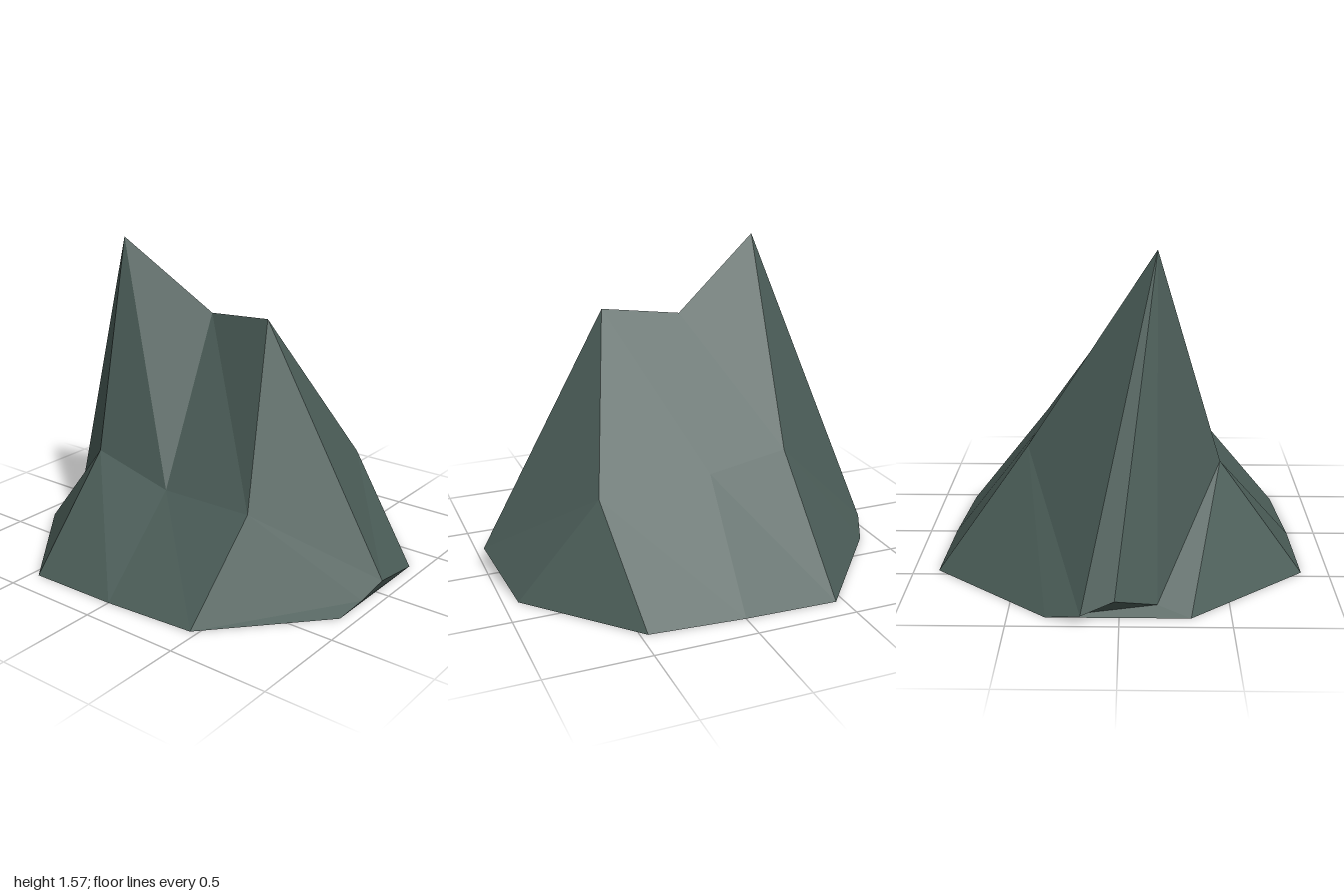
import * as THREE from 'three';

// Ridge line, from the tall peak over the saddle to the lower peak
const ridge = [[-0.48, 1.57, 0.165], [-0.03, 1.225, 0.035], [0.35, 1.265, 0.1]];
// Bends halfway down the front and back slopes, and the feet below them
const frontMid = [[-0.4, 0.55, 0.47], [0.02, 0.44, 0.46], [0.5, 0.44, 0.45]];
const frontFoot = [[-0.46, 0, 0.87], [0, 0, 0.86], [0.465, 0, 0.825]];
const backMid = [[-0.39, 0.62, -0.44], [0, 0.55, -0.44], [0.55, 0.5, -0.42]];
const backFoot = [[-0.46, 0, -0.88], [0, 0, -0.865], [0.465, 0, -0.83]];
// Corners of the two flanks
const leftFrontFoot = [-0.92, 0, 0.32], leftBackFoot = [-0.92, 0, -0.33];
const leftNotch = [-0.87, 0.04, 0.17], leftLip = [-0.98, 0.11, -0.02], leftTip = [-1, 0.05, -0.17];
const rightFrontFoot = [0.93, 0, 0.32], rightBackFoot = [0.93, 0, -0.33];
const rightLip = [0.96, 0.04, 0.18], rightTip = [1, 0.11, 0.07];

// Faces between two rows of points, the upper row first
function strip(upper, lower) {
  const faces = [];
  for (let i = 0; i < upper.length - 1; i++) {
    faces.push([upper[i], lower[i], lower[i + 1]], [upper[i], lower[i + 1], upper[i + 1]]);
  }
  return faces;
}

// A fan of triangles around one corner
function fan(centre, rim) {
  return rim.slice(1).map((p, i) => [centre, rim[i], p]);
}

function rockMesh(name, faces, material) {
  const geometry = new THREE.BufferGeometry();
  geometry.setAttribute('position', new THREE.Float32BufferAttribute(faces.flat(2), 3));
  geometry.computeVertexNormals(); // unshared corners give flat facets
  const mesh = new THREE.Mesh(geometry, material);
  mesh.name = name;
  return mesh;
}

export function createModel() {
  const stone = new THREE.MeshStandardMaterial({ color: 0x4b5d58 });
  stone.name = 'greenGreyStone';
  stone.side = THREE.DoubleSide; // hollow, open underneath
  stone.flatShading = true;

  const rock = new THREE.Group();
  rock.name = 'rock';
  const rev = (row) => [...row].reverse();

  rock.add(rockMesh('frontSlope', [
    ...strip(ridge, frontMid), ...strip(frontMid, frontFoot),
  ], stone));

  rock.add(rockMesh('backSlope', [
    ...strip(rev(ridge), rev(backMid)), ...strip(rev(backMid), rev(backFoot)),
  ], stone));

  // Lower peak's flank, undercut along the bottom
  rock.add(rockMesh('rightFlank', [
    ...fan(frontMid[2], [frontFoot[2], rightLip, rightTip, ridge[2]]),
    [frontFoot[2], rightFrontFoot, rightLip],
    ...fan(rightBackFoot, [rightTip, rightLip, rightFrontFoot]),
    ...fan(backMid[2], [ridge[2], rightTip, rightBackFoot, backFoot[2]]),
  ], stone));

  // Tall peak's flank, with a notch and an overhanging lip
  rock.add(rockMesh('leftFlank', [
    ...fan(backMid[0], [backFoot[0], leftBackFoot, leftTip, ridge[0]]),
    ...fan(ridge[0], [leftTip, leftLip, leftNotch, frontMid[0]]),
    ...fan(leftBackFoot, [leftFrontFoot, leftNotch, leftLip, leftTip]),
    ...fan(frontMid[0], [leftNotch, leftFrontFoot, frontFoot[0]]),
  ], stone));

  return rock;
}
